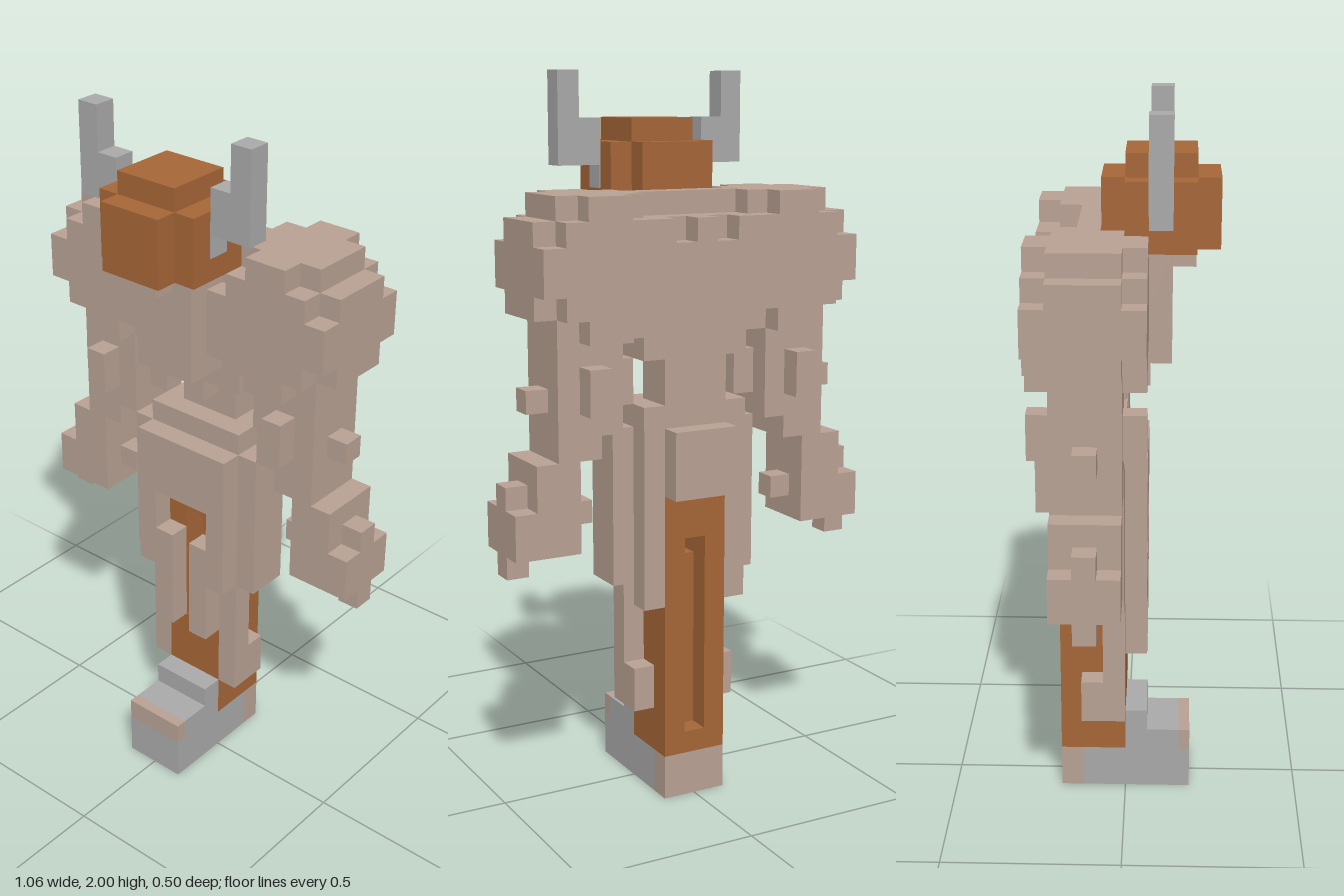
import * as THREE from 'three';

const U = 0.0625; // one block

export function createModel() {
  const mat = (name, color) => {
    const m = new THREE.MeshStandardMaterial({ color });
    m.name = name;
    return m;
  };
  const stone = mat('dusty beige', 0xb8a193);
  const rust = mat('rust orange', 0xa56637);
  const steel = mat('grey', 0xa9a9a9);

  const model = new THREE.Group();
  model.name = 'hornedBlockFigure';

  // Box from block-unit bounds
  const box = (name, m, x0, x1, y0, y1, z0, z1) => {
    const mesh = new THREE.Mesh(new THREE.BoxGeometry((x1 - x0) * U, (y1 - y0) * U, (z1 - z0) * U), m);
    mesh.position.set((x0 + x1) / 2 * U, (y0 + y1) / 2 * U, (z0 + z1) / 2 * U);
    mesh.name = name;
    model.add(mesh);
  };
  // Centred box of half width w
  const mid = (name, m, w, ...r) => box(name, m, -w, w, ...r);
  // Mirrored pair
  const pair = (name, m, x0, x1, ...r) => {
    box(name + 'Left', m, x0, x1, ...r);
    box(name + 'Right', m, -x1, -x0, ...r);
  };

  // Head
  mid('headCore', rust, 1.5, 26, 29, -1, 4);
  mid('headSides', rust, 2.5, 26, 29, 0, 3);
  mid('headCrown', rust, 1.5, 29, 30, 0, 3);
  mid('chin', stone, 0.5, 25, 26, 2, 3);

  // Horns
  pair('hornRoot', steel, 2.4, 2.55, 27, 28, 1, 2);
  pair('hornBase', steel, 2.5, 3.5, 28, 30, 1, 2);
  pair('hornTip', steel, 3.5, 4.5, 28, 32, 1, 2);

  // Torso
  mid('torso', stone, 2.5, 20, 26, -3, 0);
  mid('chest', stone, 2.5, 22, 25, 0, 1);
  mid('breastplate', stone, 1.5, 21, 26, 0, 2);
  mid('neckRidge', stone, 2.5, 26, 27, -2, -1);
  pair('backPlate', stone, 1.5, 2.5, 22, 26, -4, -3);
  mid('backRidge', stone, 1.5, 22, 25, -4, -3);
  mid('spineKnob', stone, 0.5, 25, 26, -4, -3);
  mid('waist', stone, 1.5, 18, 20, -3, -1);
  mid('bellyTip', stone, 0.5, 19, 20, -1, 0);

  // Shoulders
  pair('shoulder', stone, 2.5, 7.5, 22, 26, -3, 0);
  pair('shoulderBulk', stone, 2.5, 6.5, 22, 26, -4, 1);
  pair('shoulderEdge', stone, 6.5, 7.5, 23, 25, -4, 1);
  pair('shoulderTop', stone, 2.5, 6.5, 26, 27, -3, 0);
  pair('shoulderRidge', stone, 3.5, 5.5, 26, 27, -4, 1);
  pair('shoulderRim', stone, 3.5, 5.5, 21, 22, -4, 1);
  pair('armpit', stone, 2.5, 3.5, 21, 22, -3, 0);

  // Arms with studs on each side
  pair('arm', stone, 3.5, 6.5, 17, 22, -3, 0);
  pair('armStud', stone, 4.5, 5.5, 18, 20, -4, 1);
  pair('innerStud', stone, 2.5, 3.5, 18, 20, -2, -1);
  pair('outerStud', stone, 6.5, 7.5, 18, 19, -2, -1);
  pair('forearm', stone, 4.5, 6.5, 16, 17, -3, 0);
  pair('wrist', stone, 5.5, 7.5, 15, 16, -3, 0);

  // Hands
  pair('palm', stone, 5.5, 7.5, 12, 15, -3, 0);
  pair('knuckles', stone, 7.5, 8.5, 12, 14, -3, 0);
  pair('knuckleTop', stone, 7.5, 8.5, 14, 15, -2, -1);
  pair('thumb', stone, 4.5, 5.5, 13, 14, -2, -1);
  pair('finger', stone, 7.5, 8.5, 11, 12, -2, -1);

  // Hips and hanging plates
  mid('hipTop', stone, 2.5, 14, 18, -3, 0);
  mid('frontPlate', stone, 1.5, 14, 17, 0, 1);
  mid('rearPlate', stone, 1.5, 14, 17, -4, -3);
  pair('hipPlate', stone, 2.5, 3.5, 10, 17, -2, 0);
  pair('hipPlateFront', stone, 1.5, 2.5, 10, 17, -2, 1);
  pair('rearTasset', stone, 1.5, 2.5, 9, 14, -3, -2);
  pair('frontStrap', stone, 0.5, 1.5, 7, 12, 0, 1);
  pair('sideStrap', stone, 1.5, 2.5, 5, 10, -1, 0);
  pair('sideStrapFoot', stone, 1.5, 2.5, 4, 6, -2, -1);
  pair('sideStrapToe', stone, 1.5, 2.5, 4, 5, -1, 0);

  // Pillar leg with rear slot and a through hole
  pair('legColumn', rust, 0.5, 1.5, 2, 14, -3, 0);
  mid('legCore', rust, 0.5, 3, 11, -2, -1);
  mid('legFront', rust, 0.5, 2, 7, -1, 0);
  mid('legBase', rust, 0.5, 2, 3, -3, -1);
  mid('legCoreTop', rust, 0.5, 12, 14, -3, -1);
  mid('legLintel', rust, 0.5, 13, 14, -1, 0);

  // Foot
  mid('sole', steel, 1.5, 0, 2, -2, 3);
  mid('heel', stone, 1.5, 0, 2, -3, -2);
  mid('instep', steel, 1.5, 2, 3, 0, 2.5);
  mid('toeBand', stone, 1.5, 2, 3, 2.5, 3);
  mid('ankle', steel, 1.5, 3, 4, 0, 1);

  return model;
}
